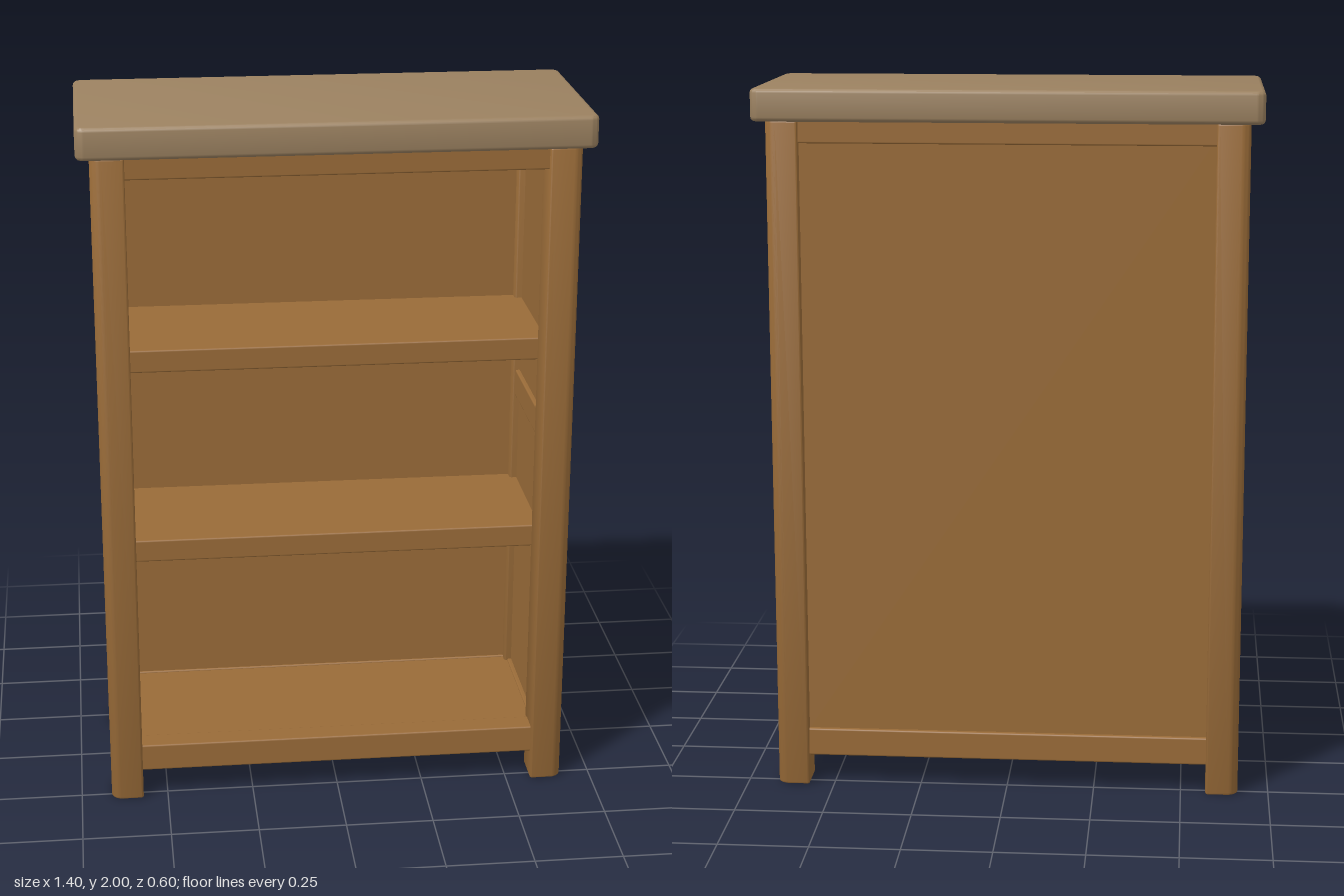
import * as THREE from 'three';
import { toCreasedNormals } from 'three/addons/utils/BufferGeometryUtils.js';
import { RoundedBoxGeometry } from 'three/addons/geometries/RoundedBoxGeometry.js';

const wood = new THREE.MeshStandardMaterial({ color: 0x996b38 });
const topWood = new THREE.MeshStandardMaterial({ color: 0x9b8160 });

// Vertical slab with its own radius at each plan corner, softened at top and bottom.
// radius(sx, sz) gives the radius of the corner on that side.
function slab(w, d, h, bevel, radius) {
  const x = w / 2 - bevel, y = d / 2 - bevel;
  const s = new THREE.Shape();
  [[1, -1], [1, 1], [-1, 1], [-1, -1]].forEach(([sx, sy], i) => {
    const r = radius(sx, -sy); // shape y becomes -z
    const cx = sx * (x - r), cy = sy * (y - r);
    const a = (i - 1) * Math.PI / 2;
    s.absarc(cx, cy, r, a, a + Math.PI / 2, false);
  });
  const g = new THREE.ExtrudeGeometry(s, {
    depth: h - 2 * bevel, bevelEnabled: true, bevelThickness: bevel,
    bevelSize: bevel, bevelSegments: 3, curveSegments: 6,
  });
  g.translate(0, 0, bevel).rotateX(-Math.PI / 2);
  return toCreasedNormals(g, 0.7);
}

export function createModel() {
  const model = new THREE.Group();

  const add = (name, geometry, material, x = 0, y = 0, z = 0) => {
    const mesh = new THREE.Mesh(geometry, material);
    mesh.name = name;
    mesh.position.set(x, y, z);
    model.add(mesh);
  };

  // Board given by its limits on each axis, with slightly eased edges
  const board = (name, x0, x1, y0, y1, z0, z1, r = 0.005) =>
    add(name, new RoundedBoxGeometry(x1 - x0, y1 - y0, z1 - z0, 2, r), wood,
      (x0 + x1) / 2, (y0 + y1) / 2, (z0 + z1) / 2);

  // Thick top
  add('top', slab(1.4, 0.6, 0.09, 0.012, () => 0.014), topWood, 0, 1.91, 0);

  // Four corner posts, the outer corner well rounded
  for (const sx of [-1, 1]) for (const sz of [-1, 1]) {
    const post = slab(0.092, 0.104, 1.912, 0.005,
      (cx, cz) => (cx === sx && cz === sz ? 0.026 : 0.002));
    add(sz > 0 ? 'frontPost' : 'backPost', post, wood, sx * 0.617, 0, sz * 0.233);
  }

  // Front and back rails
  for (const [side, z0, z1] of [['front', 0.205, 0.273], ['back', -0.273, -0.205]]) {
    board(side + 'BottomRail', -0.58, 0.58, 0.085, 0.165, z0, z1);
    board(side + 'TopRail', -0.58, 0.58, 1.85, 1.915, z0, z1);
  }

  // Side rails and recessed side panels
  for (const sx of [-1, 1]) {
    const x0 = sx > 0 ? 0.58 : -0.648, x1 = x0 + 0.068;
    board('sideBottomRail', x0, x1, 0.085, 0.165, -0.19, 0.19);
    board('sideMiddleRail', x0, x1, 1.04, 1.12, -0.19, 0.19);
    board('sideTopRail', x0, x1, 1.845, 1.915, -0.19, 0.19);
    const p0 = sx > 0 ? 0.592 : -0.636;
    board('sidePanel', p0, p0 + 0.044, 0.12, 1.912, -0.2, 0.2, 0.001);
  }

  // Back panel
  board('backPanel', -0.6, 0.6, 0.12, 1.912, -0.26, -0.21, 0.001);

  // Floor set inside the bottom rails, and two shelves
  board('floor', -0.61, 0.61, 0.115, 0.16, -0.23, 0.23, 0.001);
  for (const y of [0.71, 1.28]) {
    board('shelf', -0.595, 0.595, y, y + 0.065, -0.215, 0.19);
  }

  return model;
}
